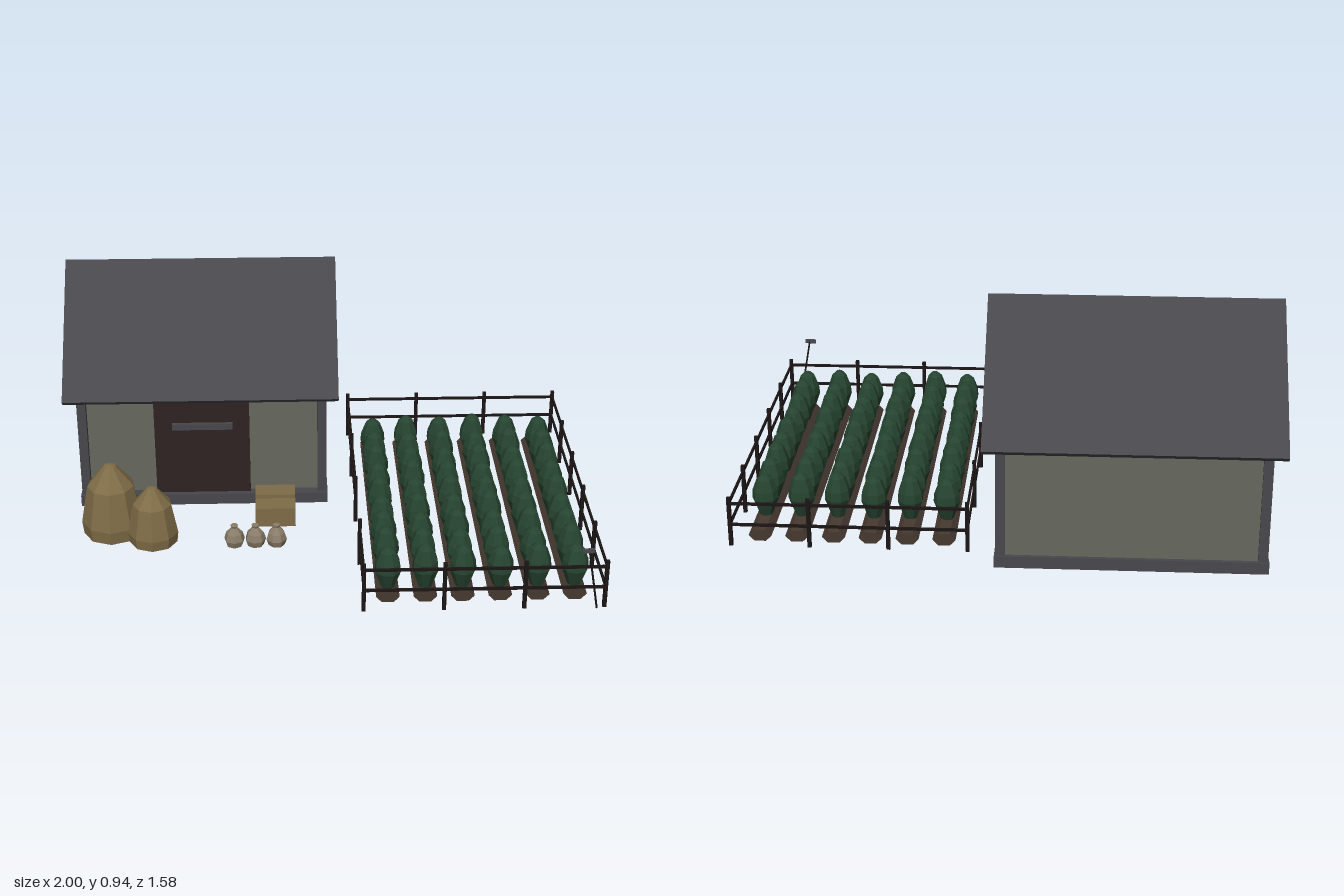
import * as THREE from 'three';

const mat = (name, color) => {
  const m = new THREE.MeshStandardMaterial({ color, flatShading: true });
  m.name = name;
  return m;
};

export function createModel() {
  const slate = mat('slate grey', 0x48474c);
  const plaster = mat('plaster', 0x66675e);
  const doorWood = mat('door wood', 0x2f2323);
  const straw = mat('straw', 0x7f6c47);
  const sackcloth = mat('sackcloth', 0x8a7d69);
  const leaf = mat('leaf green', 0x264430);
  const soil = mat('soil', 0x463930);
  const darkWood = mat('dark wood', 0x1b1514);

  const model = new THREE.Group();
  const group = (name, parent = model) => {
    const g = new THREE.Group();
    g.name = name;
    parent.add(g);
    return g;
  };
  const add = (parent, name, geometry, material, x = 0, y = 0, z = 0) => {
    const m = new THREE.Mesh(geometry, material);
    m.name = name;
    m.position.set(x, y, z);
    parent.add(m);
    return m;
  };
  // Box given by its two opposite corners
  const box = (parent, name, material, [x0, y0, z0], [x1, y1, z1]) =>
    add(parent, name, new THREE.BoxGeometry(x1 - x0, y1 - y0, z1 - z0), material,
      (x0 + x1) / 2, (y0 + y1) / 2, (z0 + z1) / 2);
  // Prism along x from a (z, y) outline
  const prism = (parent, name, material, outline, x0, x1) => {
    const shape = new THREE.Shape(outline.map(([z, y]) => new THREE.Vector2(-z, y)));
    const geo = new THREE.ExtrudeGeometry(shape, { depth: x1 - x0, bevelEnabled: false });
    return add(parent, name, geo.rotateY(Math.PI / 2), material, x0);
  };
  const lathe = (profile, sides) =>
    new THREE.LatheGeometry(profile.map(([r, y]) => new THREE.Vector2(r, y)), sides);

  // Barn
  const barn = group('barn');
  box(barn, 'plinth', slate, [-0.96, 0.035, -0.735], [0.015, 0.08, 0]);
  prism(barn, 'walls', plaster,
    [[-0.04, 0.08], [-0.04, 0.55], [-0.365, 0.905], [-0.72, 0.55], [-0.72, 0.08]], -0.943, -0.002);
  for (const x of [-0.955, -0.025])
    for (const z of [-0.73, -0.045])
      box(barn, 'cornerPost', slate, [x, 0.08, z], [x + 0.035, 0.55, z + 0.035]);
  prism(barn, 'roof', slate,
    [[0.06, 0.525], [-0.362, 0.938], [-0.79, 0.515], [-0.772, 0.497], [-0.362, 0.904], [0.042, 0.507]],
    -1, 0.055);
  box(barn, 'door', doorWood, [-0.66, 0.08, -0.045], [-0.29, 0.475, -0.02]);
  box(barn, 'doorBar', slate, [-0.59, 0.365, -0.025], [-0.355, 0.39, -0.005]);

  // Haystacks
  const hay = group('haystacks');
  const haystack = (x, z, r, h) => add(hay, 'haystack', lathe([
    [0, 0], [r * 0.95, 0], [r, h * 0.18], [r * 0.76, h * 0.7], [r * 0.2, h * 0.98], [0, h],
  ], 9), straw, x, 0.035, z);
  haystack(-0.82, 0.185, 0.118, 0.29);
  haystack(-0.66, 0.26, 0.097, 0.23);

  // Bales and sacks
  for (const z of [-0.005, 0.1])
    box(model, 'strawBale', straw, [-0.27, 0.035, z], [-0.115, 0.115, z + 0.08]);
  const sackGeo = lathe([
    [0, 0], [0.032, 0], [0.04, 0.025], [0.032, 0.052], [0.012, 0.075], [0.015, 0.085], [0, 0.087],
  ], 7);
  const sacks = group('sacks');
  [-0.35, -0.27, -0.19].forEach((x, i) => {
    add(sacks, 'sack', sackGeo, sackcloth, x, 0.035, 0.305).rotation.y = i * 0.7;
  });

  // Planted beds: flattened six-sided ridges with a row of bushes each
  const field = group('field');
  const bedGeo = new THREE.CylinderGeometry(0.043, 0.043, 1.18, 6, 1, false, Math.PI / 6)
    .rotateX(Math.PI / 2).scale(1, 0.6, 1);
  const plantGeo = lathe([
    [0, 0], [0.024, 0], [0.05, 0.075], [0.047, 0.11], [0.03, 0.158], [0.012, 0.175], [0, 0.176],
  ], 8);
  for (let row = 0; row < 6; row++) {
    const x = 0.213 + row * 0.137;
    add(field, 'soilBed', bedGeo, soil, x, 0.0225, 0.075);
    for (let i = 0; i < 9; i++) {
      const plant = add(field, 'plant', plantGeo, leaf, x, 0.043, -0.376 + i * 0.125);
      plant.rotation.y = (row * 5 + i * 3) % 7 * 0.4;
      plant.scale.y = 0.93 + ((row * 3 + i * 2) % 5) * 0.022;
    }
  }

  // Fence with an opening on the right side
  const fence = group('fence');
  const run = (x0, z0, x1, z1, bays) => {
    for (let i = 0; i <= bays; i++) {
      const x = x0 + (x1 - x0) * i / bays, z = z0 + (z1 - z0) * i / bays;
      add(fence, 'fencePost', new THREE.BoxGeometry(0.014, 0.195, 0.014), darkWood, x, 0.118, z);
    }
    for (const y of [0.105, 0.19])
      add(fence, 'fenceRail',
        new THREE.BoxGeometry(Math.abs(x1 - x0) + 0.008, 0.01, Math.abs(z1 - z0) + 0.008),
        darkWood, (x0 + x1) / 2, y, (z0 + z1) / 2);
  };
  run(0.12, 0.745, 0.99, 0.745, 3);
  run(0.12, -0.59, 0.99, -0.59, 3);
  run(0.99, -0.59, 0.99, 0.745, 5);
  run(0.12, -0.59, 0.12, -0.12 + 0.24, 2);
  run(0.12, 0.435, 0.12, 0.745, 1);

  // Hoe leaning by the front fence
  const hoe = group('hoe');
  const foot = new THREE.Vector3(0.957, 0.035, 0.775);
  const tip = new THREE.Vector3(0.912, 0.285, 0.788);
  const path = new THREE.LineCurve3(foot, tip);
  add(hoe, 'hoeHandle', new THREE.TubeGeometry(path, 1, 0.004, 6), darkWood);
  add(hoe, 'hoeHead', new THREE.BoxGeometry(0.046, 0.016, 0.008), slate, 0.908, 0.285, 0.789);

  return model;
}
